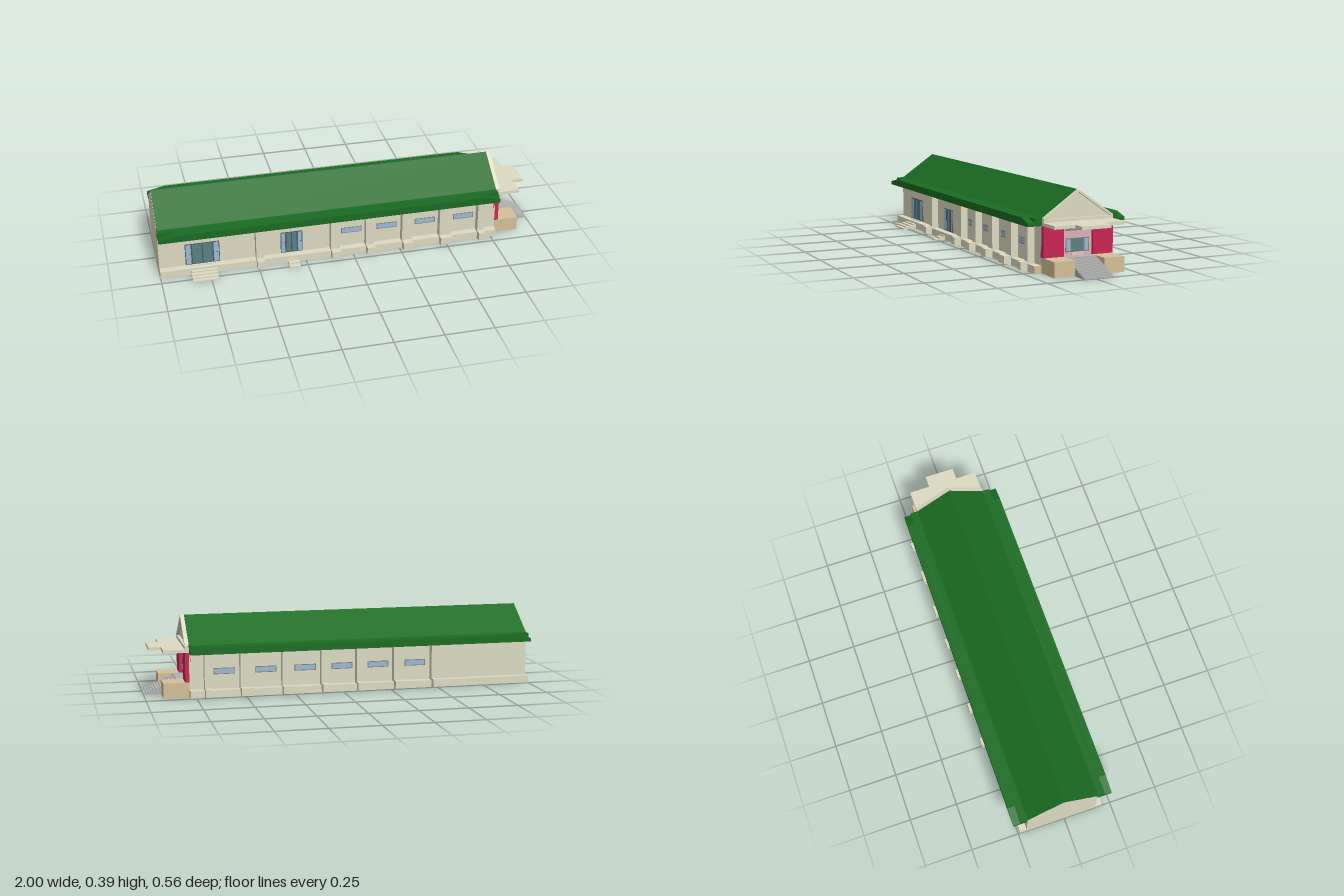
import * as THREE from 'three';

const C = {
  wall: 0xdcdac0, green: 0x1a6b22, tan: 0xd4bf98, red: 0xc82453, pink: 0xdeb0b6, palePink: 0xf2c0c4,
  grey: 0x7d8285, stair: 0xb0b0b0, glass: 0x9db8d2, teal: 0x5b8084, frame: 0x4a5a66,
};
const mats = {};
for (const k in C) mats[k] = new THREE.MeshStandardMaterial({ color: C[k], flatShading: true });

export function createModel() {
  const model = new THREE.Group();
  model.name = 'longHall';
  // Everything is built symmetrically about the ridge line, then shifted
  const hall = new THREE.Group();
  hall.name = 'hall';
  hall.position.z = -0.018;
  model.add(hall);

  const add = (name, geo, mat) => {
    const m = new THREE.Mesh(geo, mats[mat]);
    m.name = name;
    hall.add(m);
    return m;
  };
  // Box between two corners (z may be given in either order)
  const box = (name, mat, x0, x1, y0, y1, z0, z1) => {
    const g = new THREE.BoxGeometry(x1 - x0, y1 - y0, Math.abs(z1 - z0));
    g.translate((x0 + x1) / 2, (y0 + y1) / 2, (z0 + z1) / 2);
    return add(name, g, mat);
  };
  const shapeOf = (pts) => new THREE.Shape(pts.map((p) => new THREE.Vector2(p[0], p[1])));
  // [z, y] profile swept along x
  const prismX = (name, mat, pts, x0, x1, hole) => {
    const s = shapeOf(pts);
    if (hole) s.holes.push(new THREE.Path(hole.map((p) => new THREE.Vector2(p[0], p[1]))));
    const g = new THREE.ExtrudeGeometry(s, { depth: x1 - x0, bevelEnabled: false });
    g.rotateY(-Math.PI / 2).translate(x1, 0, 0);
    return add(name, g, mat);
  };
  // [x, y] profile swept along z
  const prismZ = (name, mat, pts, z0, z1) => {
    const g = new THREE.ExtrudeGeometry(shapeOf(pts), { depth: z1 - z0, bevelEnabled: false });
    return add(name, g.translate(0, 0, z0), mat);
  };
  // Descending stair profile from (a, top) down to (b, 0)
  const stairs = (a, b, top, n) => {
    const pts = [[a, 0], [a, top]];
    for (let i = 1; i <= n; i++) {
      const p = a + ((b - a) * i) / n;
      pts.push([p, top * (1 - (i - 1) / n)]);
      pts.push([p, top * (1 - i / n)]);
    }
    return pts;
  };

  const X0 = -1, X1 = 0.78, W = 0.186;

  // Hall body with gable ends, and the roof skin over it
  prismX('hallBody', 'wall', [[-W, 0], [W, 0], [W, 0.258], [0, 0.386], [-W, 0.258]], X0, X1);
  prismX('roof', 'green', [[W, 0.25], [W, 0.262], [0, 0.39], [-W, 0.262], [-W, 0.25], [0, 0.378]], X0 + 0.001, X1 - 0.001);

  // Eaves, plinths and pillars on both long sides
  const frontPillars = [[-0.508, -0.47], [-0.118, -0.072], [0.068, 0.112], [0.262, 0.314], [0.465, 0.528], [0.674, 0.708]];
  const backPillars = [...frontPillars, [-0.315, -0.268]];
  for (const s of [1, -1]) {
    box('eave', 'green', X0, X1, 0.225, 0.262, s * (W - 0.005), s * 0.223);
    const edge = [[X0, 0.225], [X1, 0.225], [X1, 0.242], [0.71, 0.262], [-0.91, 0.262], [X0, 0.242]];
    prismZ('eaveEdge', 'green', edge, s > 0 ? 0.223 : -0.26, s > 0 ? 0.26 : -0.223);
    box('plinth', 'wall', X0, X1 - 0.002, 0, 0.037, s * (W - 0.005), s * 0.223);
    box('plinthEnd', 'tan', X1 - 0.002, X1, 0, 0.037, s * (W - 0.005), s * 0.223);
    for (const [a, b] of s > 0 ? frontPillars : backPillars) {
      box('pillar', 'wall', a, b, 0.03, 0.228, s * (W - 0.005), s * 0.223);
      const foot = [[0.18, 0], [0.223, 0], [0.26, 0.008], [0.26, 0.047], [0.18, 0.047]];
      prismX('pillarFoot', 'wall', foot.map(([z, y]) => [s * z, y]), a, b);
    }
  }

  // Slot windows
  const slot = (x, s) => {
    box('windowFrame', 'grey', x - 0.055, x + 0.055, 0.111, 0.143, s * 0.18, s * (W + 0.001));
    box('windowPane', 'glass', x - 0.051, x + 0.051, 0.115, 0.139, s * 0.18, s * (W + 0.002));
  };
  for (const x of [-0.002, 0.189, 0.394, 0.604]) slot(x, 1);
  for (const x of [-0.39, -0.193, -0.002, 0.189, 0.394, 0.604]) slot(x, -1);

  // Front doors: framed glass leaves between side lights
  const door = (x, w, side) => {
    box('doorFrame', 'frame', x - w, x + w, 0.04, 0.16, 0.18, W + 0.002);
    for (const s of [1, -1]) {
      const c = x + s * (w - side / 2);
      for (let i = 0; i < 2; i++) {
        box('sideLight', 'glass', c - side / 2 + 0.004, c + side / 2 - 0.004, 0.044 + i * 0.057, 0.098 + i * 0.058, 0.18, W + 0.004);
      }
      const d = (w - side) / 2;
      box('doorLeaf', 'teal', x + s * d - d + 0.003, x + s * d + d - 0.003, 0.044, 0.156, 0.18, W + 0.004);
    }
  };
  door(-0.778, 0.088, 0.034);
  door(-0.318, 0.057, 0.027);
  prismX('doorSteps', 'wall', stairs(0.18, 0.298, 0.04, 6), -0.845, -0.713);
  prismX('sideDoorSteps', 'wall', stairs(0.18, 0.28, 0.03, 4), -0.346, -0.29);

  // Entrance end: red wall panels, tan terraces, stairs
  const E = 0.078;
  for (const s of [1, -1]) {
    box('redPanel', 'red', X1 - 0.01, 0.8, 0.075, 0.225, s * E, s * W);
    box('terrace', 'tan', X1 - 0.01, 0.91, 0, 0.075, s * E, s * W);
  }
  box('landing', 'stair', X1 - 0.01, 0.835, 0, 0.075, -E, E);
  prismZ('entranceStairs', 'stair', stairs(0.83, 1, 0.07, 14), -E, E);

  // Entrance wall with transom, double door and side windows
  box('entranceWall', 'pink', X1 - 0.01, X1 + 0.004, 0.075, 0.225, -E, E);
  box('transom', 'grey', X1, X1 + 0.007, 0.194, 0.206, -0.063, 0.063);
  box('entranceFrame', 'grey', X1, X1 + 0.007, 0.092, 0.158, -0.063, 0.063);
  box('threshold', 'palePink', X1, X1 + 0.009, 0.075, 0.092, -0.033, 0.033);
  for (const s of [1, -1]) {
    box('entranceDoor', 'teal', X1, X1 + 0.009, 0.094, 0.156, s * 0.001, s * 0.032);
    box('entranceWindow', 'glass', X1, X1 + 0.009, 0.098, 0.153, s * 0.038, s * 0.058);
  }

  // Stepped canopy slab
  box('canopy', 'wall', X1 - 0.005, 0.908, 0.226, 0.242, -W, W);
  box('canopyFront', 'wall', 0.905, 0.97, 0.226, 0.242, -E, E);

  // Pediment: raised triangular rim around a recessed panel
  box('pedimentBase', 'wall', X1 - 0.005, 0.8, 0.24, 0.257, -W, W);
  prismX('pedimentPanel', 'wall', [[-W, 0.25], [W, 0.25], [0, 0.388]], X1 - 0.005, 0.785);
  prismX('pedimentRim', 'wall', [[-W, 0.25], [W, 0.25], [W, 0.262], [0, 0.39], [-W, 0.262]], X1, 0.8,
    [[-0.174, 0.256], [0, 0.377], [0.174, 0.256]]);

  return model;
}
